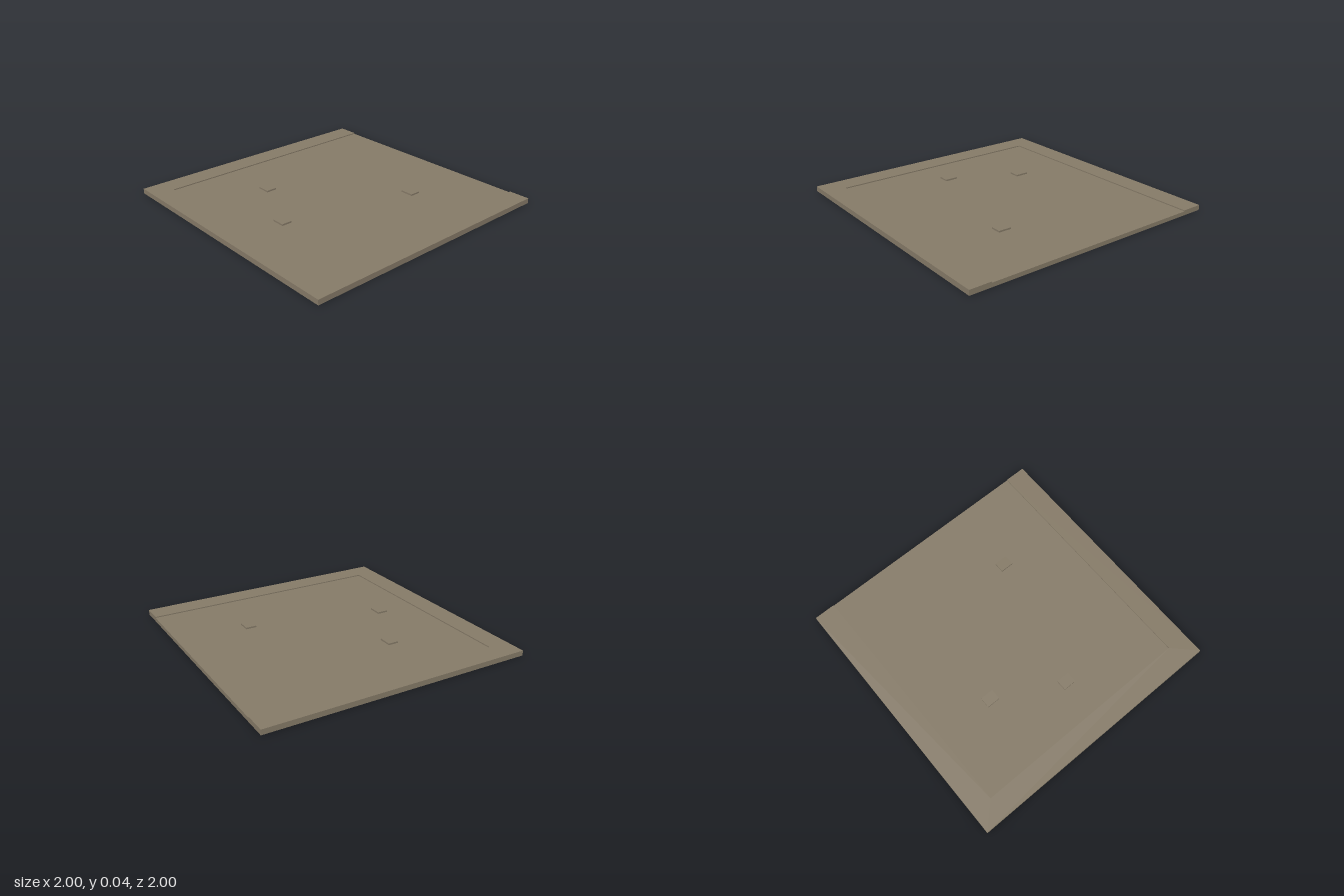
import * as THREE from 'three';

export function createModel() {
  const model = new THREE.Group();
  const stone = new THREE.MeshStandardMaterial({ color: 0x867b68 });
  stone.name = 'stone';

  const add = (name, geometry, x, y, z) => {
    const mesh = new THREE.Mesh(geometry, stone);
    mesh.name = name;
    mesh.position.set(x, y, z);
    model.add(mesh);
  };

  // Upright prism over a plan outline given as [x, -z] corners
  const toPoints = (corners) => corners.map(([x, y]) => new THREE.Vector2(x, y));
  const square = (r) => toPoints([[-r, -r], [r, -r], [r, r], [-r, r]]);
  const prism = (points, height, hole) => {
    const shape = new THREE.Shape(points);
    if (hole) shape.holes.push(new THREE.Path(hole));
    return new THREE.ExtrudeGeometry(shape, { depth: height, bevelEnabled: false }).rotateX(-Math.PI / 2);
  };

  const floorBottom = 0.02, floorTop = 0.03, rimTop = 0.038, blockTop = 0.042;

  // Flat plate carried by a thin skirt, hollow underneath
  add('plate', new THREE.BoxGeometry(2, floorTop - floorBottom, 2), 0, (floorTop + floorBottom) / 2, 0);
  add('skirt', prism(square(1), floorBottom, square(0.996)), 0, 0, 0);

  // Shallow U-shaped rim on the left, front and right, open at the back
  const inner = 0.84;
  const outline = [[-1, 1], [-1, -1], [1, -1], [1, 1], [inner, 1], [inner, -inner], [-inner, -inner], [-inner, 1]];
  add('rim', prism(toPoints(outline), rimTop - floorTop), 0, floorTop, 0);

  // Small raised blocks on the sunken floor
  const blockHeight = blockTop - floorTop;
  [[0.35, -0.45], [-0.4, 0.3], [0.1, 0.55]].forEach(([x, z], i) =>
    add(`block${i + 1}`, new THREE.BoxGeometry(0.1, blockHeight, 0.08), x, floorTop + blockHeight / 2, z));

  return model;
}
